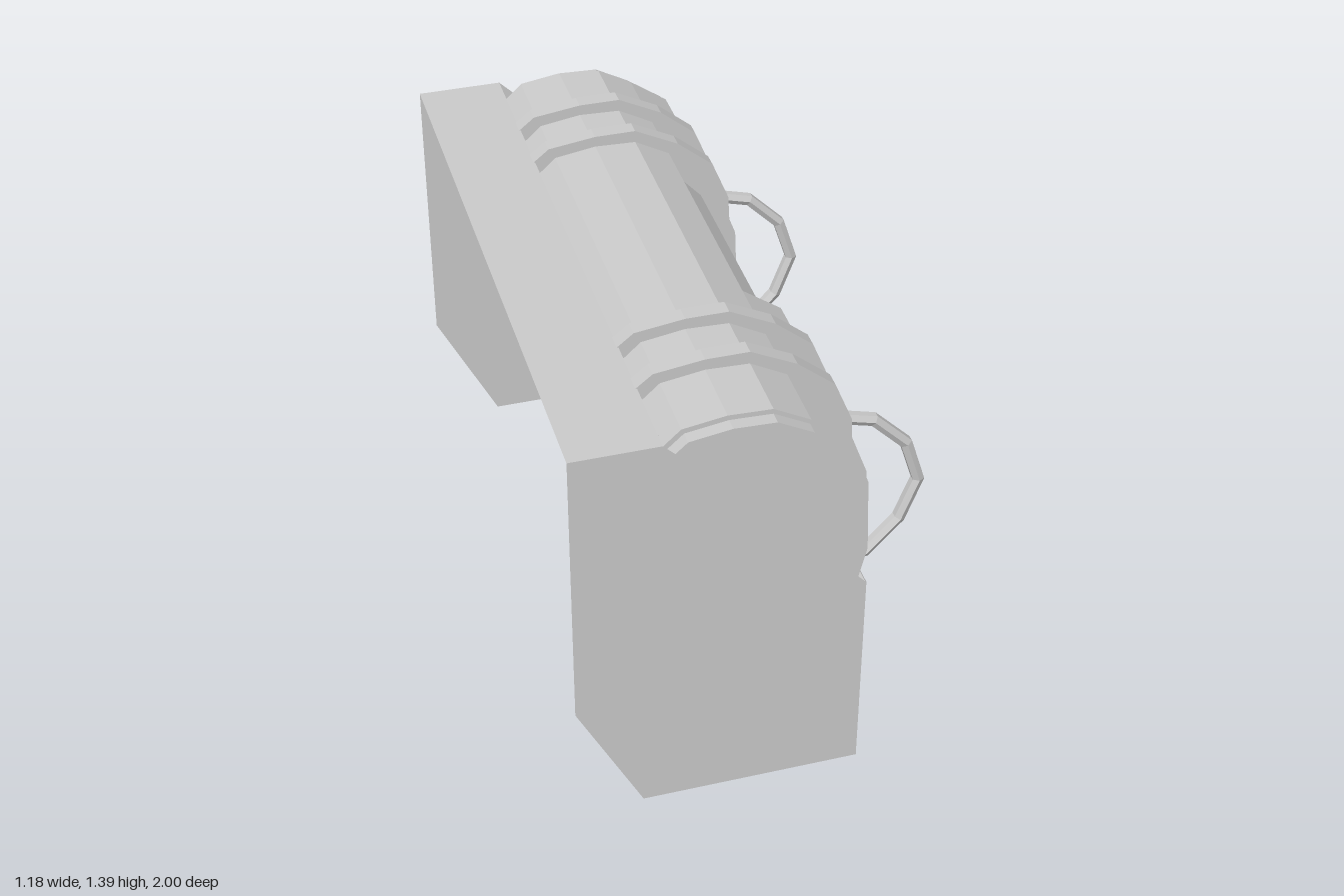
import * as THREE from 'three';

const solid = new THREE.MeshStandardMaterial({ color: 0xcccccc, flatShading: true });
const sheet = new THREE.MeshStandardMaterial({ color: 0xcccccc, flatShading: true, side: THREE.DoubleSide });

// Upper curve of the lid, from the back edge round to the front lower edge
const lidTop = [[-0.32, 1.28], [-0.26, 1.335], [-0.13, 1.355], [0, 1.35], [0.11, 1.29], [0.23, 1.205], [0.28, 1.07], [0.29, 0.815], [0.265, 0.705]];
const lidProfile = [...lidTop, [-0.32, 0.705]];
// Lid section cut back for the front window
const windowProfile = [...lidTop.slice(0, 5), [0.165, 1.23], [0.22, 0.815], [0.29, 0.815], [0.265, 0.705], [-0.32, 0.705]];
const bandProfile = [[-0.33, 1.33], [-0.28, 1.37], [-0.13, 1.39], [0, 1.39], [0.14, 1.32], [0.255, 1.225], [0.31, 1.09], [0.325, 0.8], [0.27, 0.71], [-0.325, 0.71]];

const toShape = (pts) => new THREE.Shape(pts.map(([x, y]) => new THREE.Vector2(x, y)));

export function createModel() {
  const root = new THREE.Group();

  const add = (name, geometry, material = solid) => {
    const mesh = new THREE.Mesh(geometry, material);
    mesh.name = name;
    root.add(mesh);
    return mesh;
  };
  // Prism of an x-y profile between two z positions
  const prism = (name, pts, z0, z1) => {
    const g = new THREE.ExtrudeGeometry(toShape(pts), { depth: z1 - z0, bevelEnabled: false });
    return add(name, g.translate(0, 0, z0));
  };

  // Open body: end panels with a notch for the lid
  const endPanel = [[-0.59, 1.33], [-0.325, 1.33], [-0.265, 1.27], [-0.265, 0.765], [0.22, 0.765], [0.28, 0.7], [0.28, 0], [-0.39, 0], [-0.59, 0.4]];
  for (const z of [-1, 1]) {
    add(z > 0 ? 'frontEndPanel' : 'backEndPanel', new THREE.ShapeGeometry(toShape(endPanel)).translate(0, 0, z), sheet);
  }
  // Top shelf, well wall and well floor
  add('topShelf', new THREE.PlaneGeometry(0.265, 2).rotateX(-Math.PI / 2).translate(-0.4575, 1.33, 0), sheet);
  add('wellWall', new THREE.PlaneGeometry(2, 0.635).rotateY(Math.PI / 2).translate(-0.325, 1.0125, 0), sheet);
  add('wellFloor', new THREE.PlaneGeometry(0.605, 2).rotateX(-Math.PI / 2).translate(-0.0225, 0.695, 0), sheet);

  // Side wall with an opening for the latch tray
  const rect = (w, y0, y1) => [[-w, y0], [w, y0], [w, y1], [-w, y1]];
  const wall = toShape(rect(1, 0, 0.7));
  wall.holes.push(toShape(rect(0.2, 0.04, 0.67)));
  add('sideWall', new THREE.ShapeGeometry(wall).rotateY(Math.PI / 2).translate(0.28, 0, 0), sheet);

  // Recessed latch tray: rim and back plate
  const rim = toShape(rect(0.205, 0.035, 0.675));
  rim.holes.push(toShape(rect(0.2, 0.04, 0.67)));
  const rimGeo = new THREE.ExtrudeGeometry(rim, { depth: 0.034, bevelEnabled: false });
  add('trayRim', rimGeo.rotateY(Math.PI / 2).translate(0.245, 0, 0));
  add('trayBack', new THREE.PlaneGeometry(0.4, 0.63).rotateY(Math.PI / 2).translate(0.247, 0.355, 0), sheet);
  for (const z of [0.055, 0.08, 0.105, 0.13]) {
    add('trayRib', new THREE.CylinderGeometry(0.012, 0.012, 0.63, 6).translate(0.25, 0.355, z));
  }

  // Round knob on a stem
  const disc = (name, r, x0, x1) =>
    add(name, new THREE.CylinderGeometry(r, r, x1 - x0, 12).rotateZ(-Math.PI / 2).translate((x0 + x1) / 2, 0.5, -0.1));
  disc('knobStem', 0.06, 0.247, 0.288);
  disc('knob', 0.077, 0.287, 0.325);

  // Lid: full sections either side of the window, slightly smaller end caps
  const cap = lidProfile.map(([x, y]) => [x * 0.97, 0.95 + (y - 0.95) * 0.96]);
  prism('lidWindow', windowProfile, -0.31, 0.31);
  prism('lidSection', lidProfile, 0.31, 0.95);
  prism('lidSection', lidProfile, -0.95, -0.31);
  prism('lidCap', cap, 0.95, 0.99);
  prism('lidCap', cap, -0.99, -0.95);

  // Straps over the lid
  for (const z of [-0.71, -0.51, 0.51, 0.71]) prism('lidBand', bandProfile, z - 0.025, z + 0.025);

  // Bowed handles with end collars
  const path = [[0.275, 1.02], [0.43, 0.975], [0.53, 0.87], [0.575, 0.73], [0.525, 0.59], [0.42, 0.475], [0.27, 0.437]];
  for (const z of [-0.62, 0.62]) {
    const curve = new THREE.CurvePath();
    const pts = path.map(([x, y]) => new THREE.Vector3(x, y, z));
    for (let i = 1; i < pts.length; i++) curve.add(new THREE.LineCurve3(pts[i - 1], pts[i]));
    add('handle', new THREE.TubeGeometry(new THREE.CatmullRomCurve3(pts), 6, 0.021, 6));
    for (const [x, y, tilt] of [[0.29, 1.016, -0.28], [0.293, 0.443, 0.25]]) {
      const collar = add('handleCollar', new THREE.CylinderGeometry(0.03, 0.03, 0.03, 8));
      collar.position.set(x, y, z);
      collar.rotation.z = Math.PI / 2 + tilt;
    }
  }

  return root;
}
